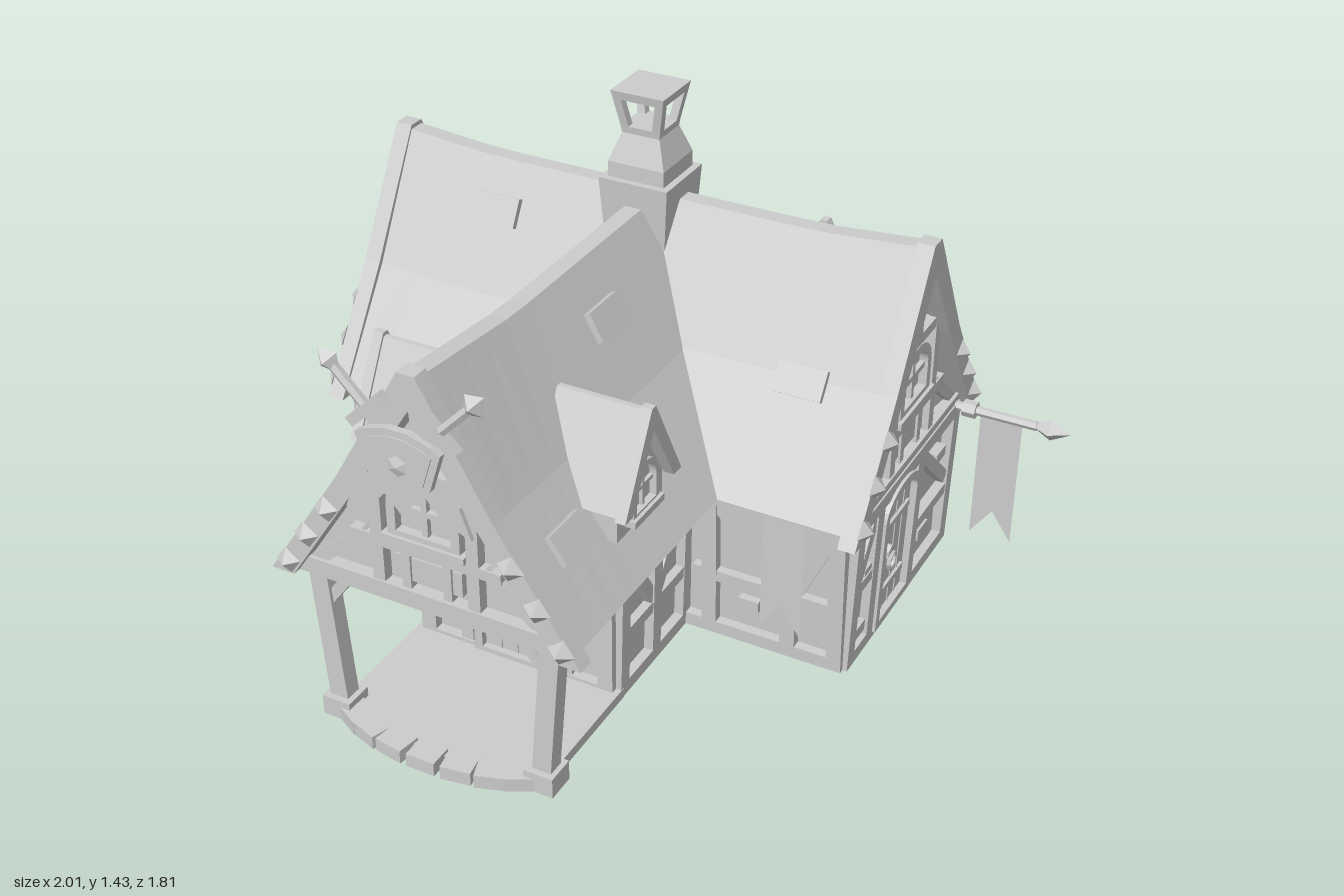
import * as THREE from 'three';

const mat = new THREE.MeshStandardMaterial({ color: 0xcccccc, flatShading: true });
const thin = new THREE.MeshStandardMaterial({ color: 0xcccccc, flatShading: true, side: THREE.DoubleSide });
const clamp = THREE.MathUtils.clamp;

function add(parent, name, geo, x = 0, y = 0, z = 0, rz = 0, m = mat) {
  const mesh = new THREE.Mesh(geo, m);
  mesh.name = name;
  mesh.position.set(x, y, z);
  mesh.rotation.z = rz;
  parent.add(mesh);
  return mesh;
}
function group(parent, name, x = 0, y = 0, z = 0, ry = 0, rx = 0) {
  const g = new THREE.Group();
  g.name = name;
  g.position.set(x, y, z);
  g.rotation.set(rx, ry, 0, 'YXZ');
  parent.add(g);
  return g;
}
const box = (p, name, w, h, d, x, y, z, rz) => add(p, name, new THREE.BoxGeometry(w, h, d), x, y, z, rz);
const poly = pts => new THREE.Shape(pts.map(p => new THREE.Vector2(p[0], p[1])));
const extrude = (shape, depth, steps = 1) =>
  new THREE.ExtrudeGeometry(shape, { depth, steps, bevelEnabled: false, curveSegments: 8 });
// Symmetric outline from its right half, listed bottom to top
const mirrored = half => poly([...half, ...half.map(([x, y]) => [-x, y]).reverse()]);
// Timber between two points on a wall
const beam = (p, x1, y1, x2, y2, w = .045, t = .04, z = .006) =>
  box(p, 'timber', w, Math.hypot(x2 - x1, y2 - y1), t, (x1 + x2) / 2, (y1 + y2) / 2, z, -Math.atan2(x2 - x1, y2 - y1));

// Roof profile: distance from the ridge and height
const P = [[.43, .485], [.215, .80], [.025, 1.15]];
const chevron = (half, off, apexDrop) => poly([
  ...half, ...half.map(([x, y]) => [-x, y]).reverse(),
  ...half.slice(0, -1).map(([x, y]) => [-x + off, y]), [0, half[half.length - 1][1] - apexDrop],
  ...half.slice(0, -1).reverse().map(([x, y]) => [x - off, y])]);

// Roof with ridge along z, sagging by drop(z), plus loose shingles [x, z]
function roof(parent, name, x, z, ry, z0, z1, drop, shingles) {
  const g = group(parent, name, x, 0, z, ry);
  const geo = extrude(chevron(P, .03, .06), z1 - z0, 12).translate(0, 0, z0);
  const pos = geo.attributes.position;
  for (let i = 0; i < pos.count; i++) {
    const y = pos.getY(i);
    pos.setY(i, y - drop(pos.getZ(i)) * (y - .485) / .665);
  }
  geo.computeVertexNormals();
  add(g, 'roofShell', geo);
  for (const [sx, sz] of shingles) {
    const d = Math.abs(sx), s = Math.sign(sx), k = d > .215 ? 1.465 : 1.84;
    const y = d > .215 ? .80 - (d - .215) * k : 1.15 - (d - .025) * k;
    box(g, 'looseShingle', .085, .03, .14, sx, y - drop(sz) * (y - .485) / .665 + .008, sz, -s * Math.atan(k));
  }
  return g;
}
// Gable board with pyramid studs
function bargeBoard(parent, z, face) {
  const half = [[.455, .46], [.225, .81], [.025, 1.16]];
  add(parent, 'bargeBoard', extrude(chevron(half, .068, .1), .05), 0, 0, z - .025);
  for (const s of [-1, 1]) for (const [x, y] of [[.40, .5], [.335, .6], [.265, .7]]) {
    const stud = add(parent, 'stud', new THREE.ConeGeometry(.04, .03, 4, 1).rotateY(Math.PI / 4).rotateX(face * Math.PI / 2),
      s * x, y, z + face * .038);
    stud.rotation.z = -s * .95;
  }
}

const arch = (w, h, rise, y = 0) => {
  const s = new THREE.Shape();
  s.moveTo(-w / 2, y);
  s.lineTo(w / 2, y);
  s.lineTo(w / 2, y + h);
  s.absellipse(0, y + h, w / 2, rise, 0, Math.PI);
  return s;
};
function archFrame(p, name, x, y, z, w, h, rise, b, t) {
  const s = arch(w, h, rise);
  s.holes.push(arch(w - 2 * b, h - b, rise - b, b));
  add(p, name, extrude(s, t), x, y, z);
}
function archWindow(p, x, y, z, w, h, rise) {
  archFrame(p, 'windowFrame', x, y, z, w, h, rise, w * .12, .025);
  box(p, 'mullion', w * .08, h + rise - .01, .015, x, y + (h + rise) / 2, z + .008);
  box(p, 'glazingBar', w * .9, w * .08, .015, x, y + h * .9, z + .008);
  box(p, 'windowSill', w * 1.15, .02, .04, x, y, z + .015);
}
function door(p, x) {
  archFrame(p, 'doorFrame', x, .02, 0, .25, .37, .075, .025, .035);
  add(p, 'doorLeaf', extrude(arch(.2, .36, .055), .015), x, .025, 0);
  for (const y of [.12, .34]) box(p, 'doorStrap', .16, .02, .012, x, y, .018);
  for (const i of [-1, 0, 1]) box(p, 'doorPlankJoint', .006, .4, .006, x + i * .05, .22, .015);
  add(p, 'knockerPlate', new THREE.CylinderGeometry(.024, .024, .02, 6).rotateX(Math.PI / 2), x - .05, .25, .022);
  add(p, 'knockerRing', new THREE.TorusGeometry(.024, .006, 5, 10), x - .05, .225, .035);
}
// Lower wall framing: sill and head beams, posts, rails [x1, x2, y], braces
function framing(p, w, posts, rails, braces = []) {
  beam(p, -w, .02, w, .02, .04);
  beam(p, -w, .465, w, .465, .045);
  posts.forEach(x => beam(p, x, 0, x, .48));
  rails.forEach(([a, b, y]) => beam(p, a, y, b, y, .035, .035));
  braces.forEach(b => beam(p, ...b, .038, .03));
}
// Upper gable framing with arched window
function gable(p) {
  beam(p, -.4, .485, .4, .485, .05, .05);
  beam(p, -.22, .63, .22, .63, .03);
  beam(p, -.12, .86, .12, .86, .03);
  for (const s of [-1, 1]) {
    beam(p, s * .14, .5, s * .14, .86, .035);
    beam(p, s * .34, .5, s * .17, .64, .035, .03);
    beam(p, s * .06, .5, s * .06, .62, .025, .03);
  }
  beam(p, 0, .86, 0, 1.05, .035);
  archWindow(p, 0, .655, 0, .21, .1, .085);
  box(p, 'gablePanel', .2, .07, .02, 0, .565, .004);
  box(p, 'wallStone', .07, .03, .03, .04, .96, 0);
}
function dormer(p, x, z, ry) {
  const g = group(p, 'dormer', x, 0, z, ry);
  add(g, 'dormerBody', extrude(mirrored([[.12, .6], [.12, .71], [.005, .9]]), .22), 0, 0, -.22);
  add(g, 'dormerRoof', extrude(chevron([[.14, .69], [.008, .935]], .025, .045), .26), 0, 0, -.23);
  add(g, 'dormerTrim', extrude(chevron([[.15, .685], [.01, .945]], .04, .065), .03), 0, 0, .01);
  archWindow(g, 0, .635, -.005, .135, .08, .07);
}
function pennant(p, x, y, z, w, h) {
  add(p, 'pennant', new THREE.ShapeGeometry(poly([[-w / 2, 0], [-w / 2, -h], [0, -h + .09], [w / 2, -h], [w / 2, 0]])), x, y, z, 0, thin);
}

export function createModel() {
  const m = new THREE.Group();
  m.name = 'timberHouse';
  const H = Math.PI / 2;

  // Hall and wing bodies, walls leaning slightly outward
  const hall = group(m, 'hall', -.15, 0, -.37, H);
  const hg = extrude(mirrored([[.355, 0], [.372, .49], [.17, .8], [.005, 1.06]]), 1.54).translate(0, 0, -.77);
  const hp = hg.attributes.position;
  for (let i = 0; i < hp.count; i++) if (Math.abs(hp.getY(i) - .49) < .01) hp.setZ(i, hp.getZ(i) * 1.02);
  hg.computeVertexNormals();
  add(hall, 'hallWalls', hg);
  const wing = group(m, 'wing', -.16, 0, 0);
  add(wing, 'wingWalls', extrude(mirrored([[.29, 0], [.3, .49]]), .585), 0, 0, -.2);
  add(wing, 'wingGable', extrude(mirrored([[.385, .48], [.17, .8], [.005, 1.04]]), 1.0), 0, 0, -.22);

  // Roofs
  const hr = roof(m, 'hallRoof', -.15, -.37, H, -.81, .81, z => .025 * clamp((.81 - Math.abs(z)) / .3, 0, 1),
    [[-.1, -.45], [-.225, .56], [.34, -.72], [.235, .51], [.075, -.18]]);
  bargeBoard(hr, -.805, -1);
  bargeBoard(hr, .805, 1);
  const wr = roof(m, 'wingRoof', -.16, 0, 0, -.33, .82, z => .04 * clamp((.82 - z) / .42, 0, 1),
    [[.11, .09], [.305, .63], [-.305, .69]]);
  bargeBoard(wr, .815, 1);
  for (const s of [-1, 1]) dormer(m, -.16 + s * .37, .385, s * H);
  for (const x of [-.5, .2]) dormer(m, x, -.735, Math.PI);

  // Hall end walls
  const east = group(m, 'rightWall', .62, 0, -.37, H, .03);
  framing(east, .36, [-.345, -.215, .075, .345], [[-.34, -.22, .25], [.08, .34, .2]], [[-.33, .26, -.23, .44], [.1, .44, .32, .24]]);
  door(east, -.07);
  for (const [x, y] of [[.26, .35], [.17, .14], [-.28, .08], [-.25, .27]]) box(east, 'wallStone', .07, .035, .03, x, y, .005);
  const west = group(m, 'leftWall', -.92, 0, -.37, -H, .03);
  framing(west, .36, [-.345, -.12, .12, .345], [[-.34, .34, .2]], [[-.32, .22, -.14, .44], [.32, .22, .14, .44]]);
  for (const [x, y] of [[.24, .1], [-.2, .13], [0, .33]]) box(west, 'wallStone', .08, .035, .03, x, y, .005);
  gable(group(m, 'rightGable', .625, 0, -.37, H));
  gable(group(m, 'leftGable', -.925, 0, -.37, -H));
  gable(group(m, 'wingFrontGable', -.16, 0, .785));

  // Hall front walls with hanging pennants
  const front = group(m, 'hallFrontWall', -.15, 0, -.013, 0, .035);
  framing(front, .775, [-.76, -.6, -.38, .38, .62, .76], [[-.76, -.33, .2], [.33, .76, .2]],
    [[-.74, .44, -.62, .22], [-.58, .22, -.4, .44], [.4, .44, .6, .22], [.74, .44, .64, .22]]);
  for (const x of [-.54, .5]) box(front, 'wallStone', .06, .035, .03, x, .13, .005);
  pennant(m, -.785, .47, .045, .12, .37);
  pennant(m, .46, .47, .045, .12, .37);

  // Wing side walls and door wall
  for (const s of [-1, 1]) {
    const side = group(m, 'wingSideWall', -.16 + s * .292, 0, .19, s * H, .02);
    framing(side, .195, [-.18, .18, 0], [[-.19, .19, .19]], [[-.17, .45, -.01, .21], [.17, .45, .01, .21]]);
  }
  const entry = group(m, 'entryWall', -.16, 0, .388);
  framing(entry, .3, [-.28, .28], [[-.28, -.16, .24], [.16, .28, .24]], [[-.155, 0, -.17, .46], [.155, 0, .17, .46]]);
  door(entry, 0);

  // Porch floor, edging stones and posts
  const porch = group(m, 'porch', -.16, 0, 0);
  const floor = new THREE.Shape();
  floor.moveTo(-.32, -.38);
  floor.lineTo(.32, -.38);
  floor.lineTo(.32, -.74);
  floor.absellipse(0, -.74, .32, .1, 0, -Math.PI, true);
  add(porch, 'porchFloor', extrude(floor, .03).rotateX(-H));
  for (let i = 0; i < 7; i++) {
    const a = (i - 3) * .33;
    const stone = box(porch, 'edgeStone', .085, .04, .07, Math.sin(a) * .3, .02, .74 + Math.cos(a) * .115);
    stone.rotation.y = a * .5;
  }
  for (const s of [-1, 1]) {
    box(porch, 'postBase', .085, .06, .085, s * .31, .03, .775);
    beam(porch, s * .31, .05, s * .345, .48, .055, .05, .775);
    beam(porch, s * .33, .36, s * .24, .48, .03, .03, .775);
    box(porch, 'porchBeam', .045, .04, .4, s * .345, .475, .58);
  }

  // Chimney with open flared lantern top
  const ch = group(m, 'chimney', -.16, 0, -.365);
  const square = (name, rb, rt, y0, y1) =>
    add(ch, name, new THREE.CylinderGeometry(rt * Math.SQRT2, rb * Math.SQRT2, y1 - y0, 4).rotateY(Math.PI / 4), 0, (y0 + y1) / 2, 0);
  square('chimneyBase', .09, .105, .95, 1.18);
  square('chimneyFoot', .085, .085, 1.18, 1.225);
  square('chimneyNeck', .085, .057, 1.225, 1.305);
  square('chimneyThroat', .057, .06, 1.305, 1.325);
  square('chimneyCap', .075, .08, 1.405, 1.43);
  for (const sx of [-1, 1]) for (const sz of [-1, 1]) {
    const g = new THREE.BoxGeometry(.024, .09, .024).translate(0, 1.365, 0);
    const p = g.attributes.position;
    for (let i = 0; i < p.count; i++) {
      const k = p.getY(i) > 1.36 ? .064 : .047;
      p.setXYZ(i, p.getX(i) + sx * k, p.getY(i), p.getZ(i) + sz * k);
    }
    add(ch, 'chimneyCornerPost', g);
  }

  // Back wall: shuttered windows and braces
  const back = group(m, 'backWall', -.15, 0, -.727, Math.PI, .035);
  framing(back, .775, [-.76, -.56, -.14, .14, .56, .76], [[-.76, .76, .17]],
    [[-.74, .44, -.58, .2], [.74, .44, .58, .2], [-.12, .44, -.01, .2], [.12, .44, .01, .2]]);
  for (const x of [-.35, .35]) {
    box(back, 'windowPane', .18, .2, .02, x, .33, .006);
    box(back, 'mullion', .015, .2, .03, x, .33, .01);
    box(back, 'glazingBar', .18, .015, .03, x, .34, .01);
    for (const s of [-1, 1]) box(back, 'shutter', .085, .22, .025, x + s * .14, .33, .024);
  }
  for (let i = 0; i < 7; i++) box(back, 'footStone', .07, .05, .03, -.66 + i * .22, .09, .005);

  // Back shelf with picket fence and plants
  const shelf = group(m, 'backShelf', -.15, 0, 0);
  box(shelf, 'shelfBoard', 1.47, .035, .185, 0, .2, -.815);
  box(shelf, 'fenceRail', 1.43, .022, .015, 0, .255, -.862);
  const picket = mirrored([[.02, .2], [.02, .3], [.002, .34]]);
  for (let i = 0; i < 11; i++) add(shelf, 'picket', extrude(picket, .018), -.68 + i * .136, 0, -.885);
  for (const s of [-1, 1]) {
    box(shelf, 'endRail', .015, .022, .14, s * .715, .255, -.8);
    add(shelf, 'endPicket', extrude(picket, .018).rotateY(H), s * .715 - .009, 0, -.8);
  }
  for (let i = 0; i < 8; i++)
    add(shelf, 'plant', new THREE.IcosahedronGeometry(.03 + .008 * (i % 3), 0), -.61 + i * .175, .24, -.79);

  // Flag on a spear-tipped pole
  add(m, 'flagPole', new THREE.CylinderGeometry(.014, .014, .3, 6).rotateZ(H), .75, .48, -.705);
  add(m, 'poleSocket', new THREE.CylinderGeometry(.025, .025, .04, 6).rotateZ(H), .7, .48, -.705);
  add(m, 'poleTip', new THREE.OctahedronGeometry(1).scale(.06, .035, .035), .94, .48, -.705);
  pennant(m, .795, .475, -.705, .125, .41);

  // Shield with crossed swords on the front gable
  const arms = group(m, 'shieldAndSwords', -.16, .94, .855);
  for (const s of [-1, 1]) {
    const sword = group(arms, 'sword', 0, 0, s * .008);
    sword.rotation.z = -s * .77;
    add(sword, 'blade', extrude(poly([[-.02, .14], [-.035, -.17], [0, -.25], [.035, -.17], [.02, .14]]), .012));
    box(sword, 'crossGuard', .13, .028, .03, 0, .15, .006);
    add(sword, 'grip', new THREE.CylinderGeometry(.014, .014, .12, 6), 0, .22, .006);
    add(sword, 'pommel', new THREE.OctahedronGeometry(.035).scale(1, 1.2, .8), 0, .295, .006);
  }
  const outline = k => mirrored([[.005, -.135], [.085, -.05], [.12, .06], [.095, .075], [.03, .095]].map(([x, y]) => [x * k, y * k]));
  add(arms, 'shield', extrude(outline(1), .02), 0, 0, .016);
  add(arms, 'shieldField', extrude(outline(.8), .008), 0, 0, .032);
  add(arms, 'shieldBoss', new THREE.ConeGeometry(.035, .012, 6).rotateX(H), 0, 0, .044);
  return m;
}
